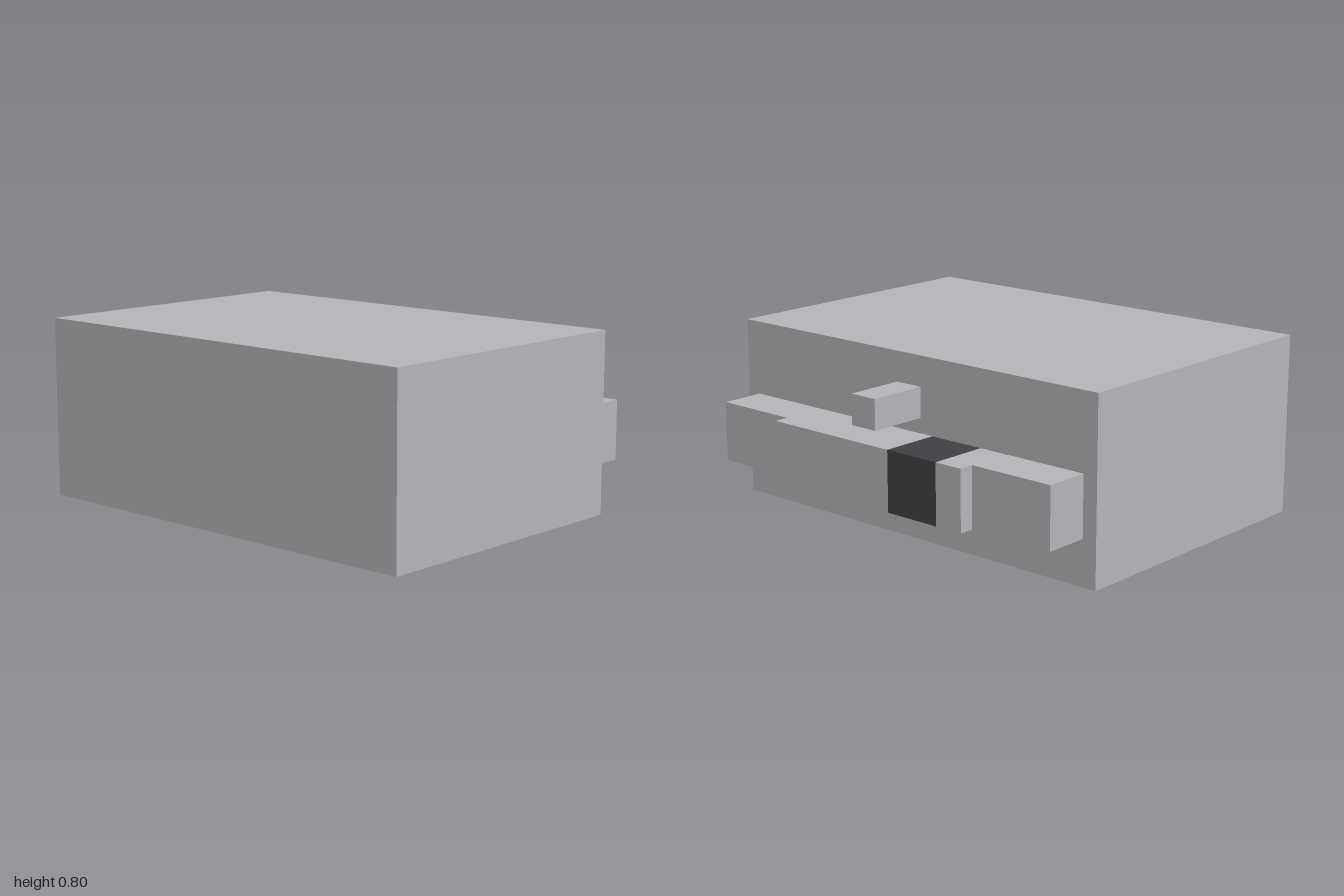
import * as THREE from 'three';

export function createModel() {
  const model = new THREE.Group();
  model.name = 'boxWithRearBar';

  const grey = new THREE.MeshStandardMaterial({ color: 0xb4b5b8 });
  grey.name = 'light grey';
  const dark = new THREE.MeshStandardMaterial({ color: 0x404044 });
  dark.name = 'charcoal';

  // Box given by its limits along each axis
  function block(name, material, [x0, x1], [y0, y1], [z0, z1]) {
    const mesh = new THREE.Mesh(new THREE.BoxGeometry(x1 - x0, y1 - y0, z1 - z0), material);
    mesh.position.set((x0 + x1) / 2, (y0 + y1) / 2, (z0 + z1) / 2);
    mesh.name = name;
    model.add(mesh);
  }

  const u = 1 / 15; // all sizes are multiples of this unit
  const back = -8 * u;
  const barY = [3 * u, 7 * u];

  // Main body
  block('body', grey, [-1, 1], [0, 0.8], [back, 0.8]);

  // Rear bar: thinner ends, thicker middle with a dark band
  block('barEndRight', grey, [-14 * u, -8 * u], barY, [-11 * u, back]);
  block('barEndLeft', grey, [8 * u, 14 * u], barY, [-11 * u, back]);
  block('barMiddleRight', grey, [-8 * u, -6 * u], barY, [-0.8, back]);
  block('darkBand', dark, [-6 * u, -2 * u], barY, [-0.8, back]);
  block('barMiddleLeft', grey, [-2 * u, 8 * u], barY, [-0.8, back]);

  // Small peg above the bar
  block('peg', grey, [-u, u], [8 * u, 10 * u], [-0.8, back]);

  return model;
}
